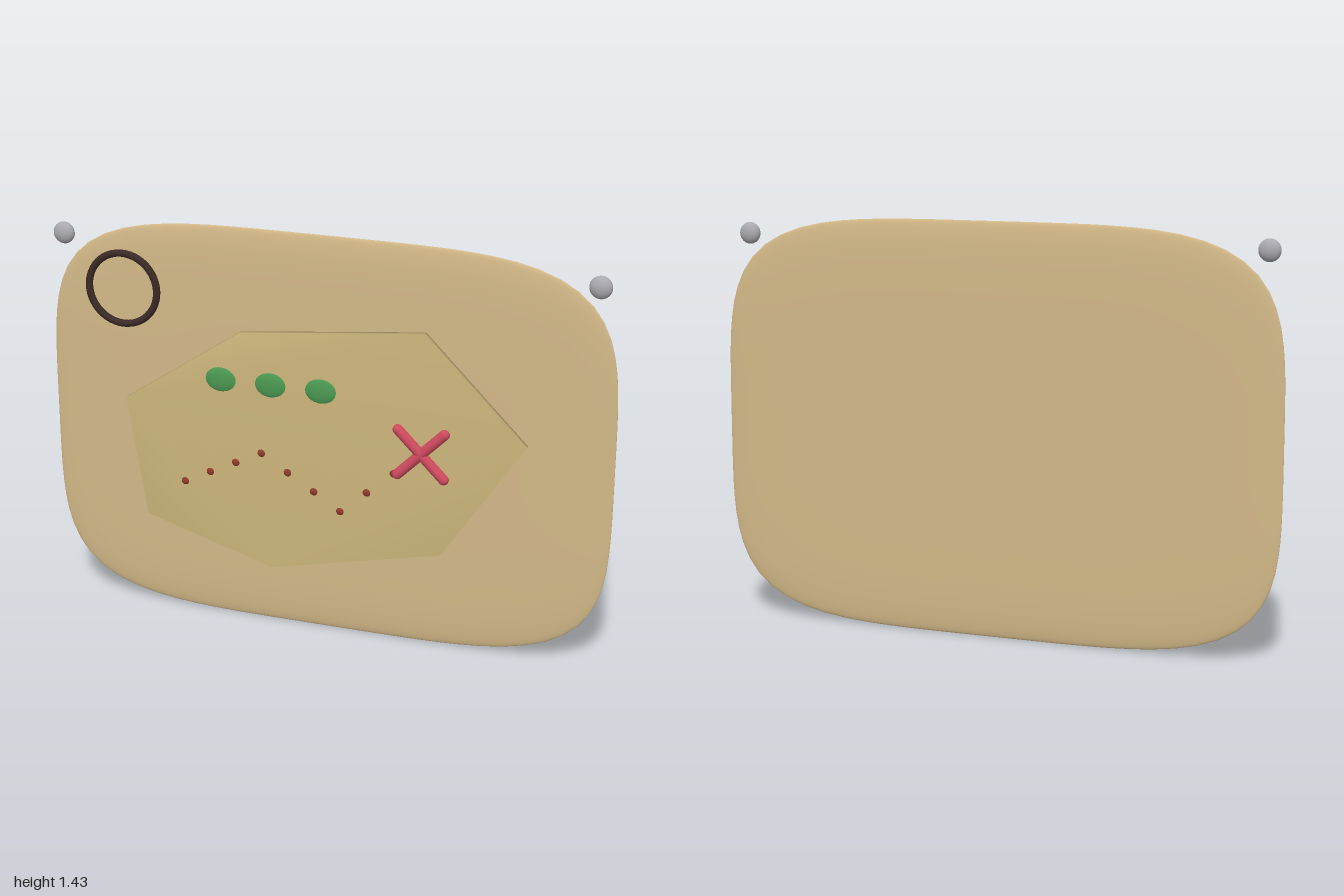
import * as THREE from 'three';
import { mergeVertices } from 'three/addons/utils/BufferGeometryUtils.js';

const mat = (color) => new THREE.MeshStandardMaterial({ color });

// Weld all corners so the whole surface shades smoothly
function smooth(geometry) {
  geometry.deleteAttribute('uv');
  geometry.deleteAttribute('normal');
  const welded = mergeVertices(geometry, 1e-5);
  welded.computeVertexNormals();
  return welded;
}

// Thin pillow-edged slab with a rounded-rectangle outline
function slabGeometry(halfW, halfH, halfD, power) {
  const g = new THREE.SphereGeometry(1, 96, 40).rotateX(Math.PI / 2);
  const p = g.attributes.position;
  for (let i = 0; i < p.count; i++) {
    const x = p.getX(i), y = p.getY(i), r = Math.hypot(x, y);
    if (r < 1e-6) {
      p.setXYZ(i, 0, 0, Math.sign(p.getZ(i)) * halfD);
      continue;
    }
    const c = x / r, s = y / r;
    const reach = (Math.abs(c) ** power + Math.abs(s) ** power) ** (-1 / power);
    const k = reach * r ** 0.25;
    p.setXYZ(i, c * k * halfW, s * k * halfH, p.getZ(i) * halfD);
  }
  return smooth(g);
}

export function createModel() {
  const group = new THREE.Group();

  const add = (name, geometry, material, x, y, z) => {
    const mesh = new THREE.Mesh(geometry, material);
    mesh.name = name;
    mesh.position.set(x, y, z);
    group.add(mesh);
    return mesh;
  };
  const ellipsoid = (rx, ry, rz) => new THREE.SphereGeometry(1, 24, 16).scale(rx, ry, rz);

  // Backing sheet
  add('backingSheet', slabGeometry(1, 0.715, 0.018, 4.4), mat(0xd2b887), 0, 0.715, -0.026);

  // Irregular seven-sided land plate
  const outline = [
    [-0.715, 0.79], [-0.645, 0.36], [-0.18, 0.22], [0.43, 0.36],
    [0.715, 0.79], [0.36, 1.145], [-0.29, 1.075],
  ].map(([x, y]) => new THREE.Vector2(x, y));
  const plate = new THREE.ExtrudeGeometry(new THREE.Shape(outline), { depth: 0.017, bevelEnabled: false });
  add('landPlate', smooth(plate), mat(0xcdb67c), 0, 0, 0.007);

  // Dark ring in the upper corner
  add('cornerRing', new THREE.TorusGeometry(0.125, 0.0125, 12, 48), mat(0x3b2a26), -0.715, 1.185, 0.018);

  // Row of green mounds
  const green = mat(0x4c9a52);
  const mound = ellipsoid(0.06, 0.047, 0.013);
  for (let i = 0; i < 3; i++) add('greenMound', mound, green, -0.36 + i * 0.18, 0.9, 0.019);

  // Zigzag trail of dots
  const dotMat = mat(0x8f3a2a);
  const dot = ellipsoid(0.015, 0.015, 0.01);
  [0.505, 0.553, 0.6, 0.647, 0.588, 0.53, 0.47, 0.553, 0.636].forEach((y, i) => {
    add('trailDot', dot, dotMat, -0.5 + i * 0.095, y, 0.02);
  });

  // Crossed bars marking the spot
  const red = mat(0xcf4a5e);
  const bar = new THREE.CapsuleGeometry(0.018, 0.228, 8, 16);
  for (const side of [-1, 1]) {
    add('crossBar', bar, red, 0.355, 0.72, 0.0265).rotation.z = side * Math.PI / 4;
  }

  // Pins at the top corners
  const pinMat = mat(0xa9a9af);
  const pin = ellipsoid(0.038, 0.038, 0.024);
  for (const side of [-1, 1]) add('cornerPin', pin, pinMat, side * 0.93, 1.36, 0.01);

  return group;
}
